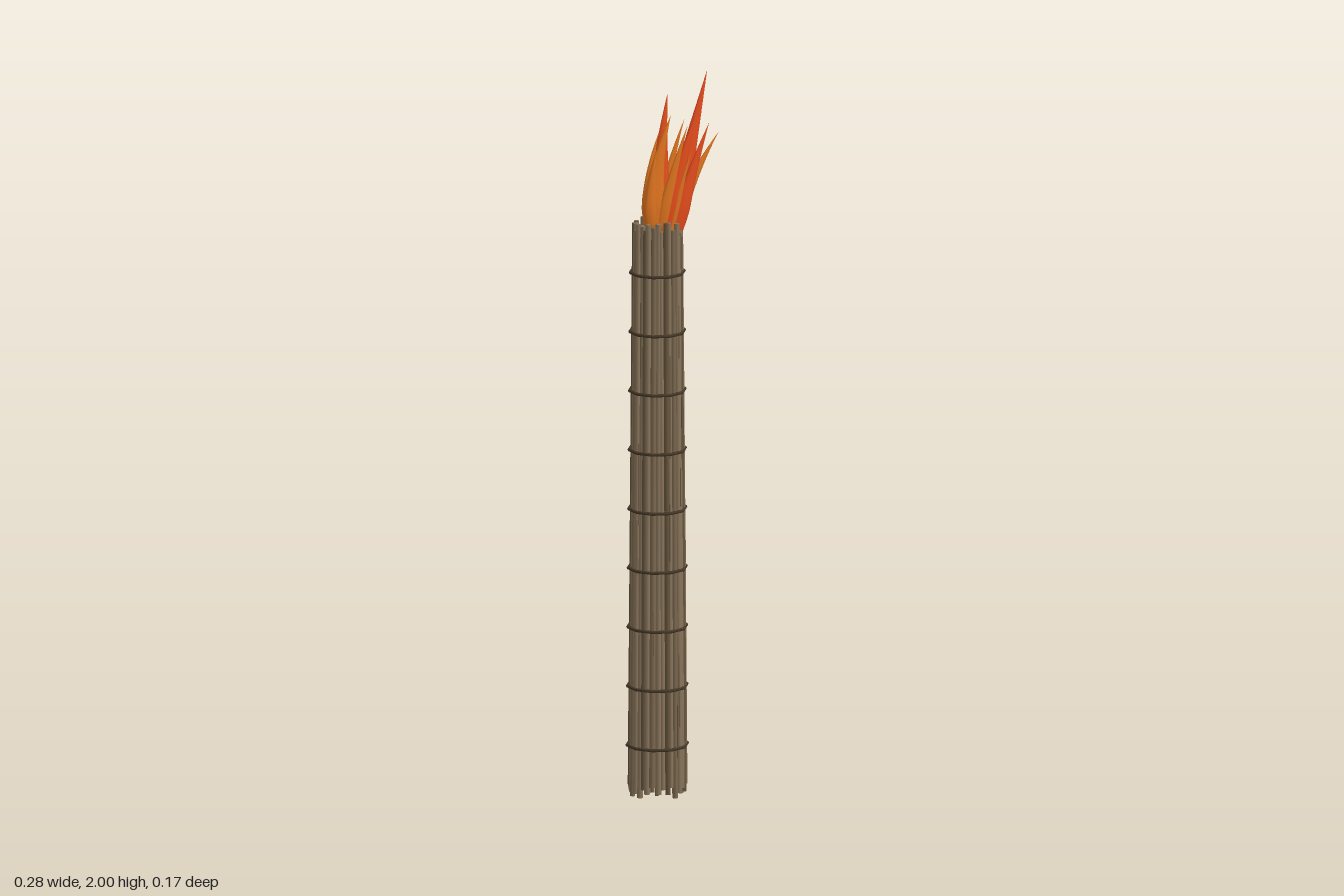
import * as THREE from 'three';

const CX = -0.054; // axis of the bundle

function makeMaterial(name, color) {
  const m = new THREE.MeshStandardMaterial({ color });
  m.name = name;
  return m;
}

function seeded(seed) {
  return () => {
    seed = (seed * 16807) % 2147483647;
    return seed / 2147483647;
  };
}

// Flame tongue: rings swept along a bowed curve, swelling above the base and narrowing to a tip
function tongueGeometry(baseX, tipX, tipY, z, width, bow) {
  const sides = 8, rows = 14, depth = width * 0.5;
  const baseY = 1.555 + Math.max(0, -0.01 - baseX) * 0.45;
  const curve = new THREE.QuadraticBezierCurve3(
    new THREE.Vector3(baseX, baseY, z * 0.6),
    new THREE.Vector3(baseX + bow, (baseY + tipY) / 2, z),
    new THREE.Vector3(tipX, tipY, z));
  const pos = [], index = [];
  for (let i = 0; i <= rows; i++) {
    const t = i / rows, c = curve.getPoint(t), d = curve.getTangent(t);
    const s = t < 0.25 ? 0.75 + 0.25 * Math.sin(t * 2 * Math.PI) : Math.max(0.004, (1 - t) / 0.75);
    for (let j = 0; j < sides; j++) {
      const a = j / sides * Math.PI * 2;
      const w = Math.cos(a) * width * s;
      pos.push(c.x + d.y * w, c.y - d.x * w, c.z + Math.sin(a) * depth * s);
      if (i < rows) {
        const p = i * sides + j, q = i * sides + (j + 1) % sides;
        index.push(p, p + sides, q, q, p + sides, q + sides);
      }
    }
  }
  for (let j = 1; j < sides - 1; j++) index.push(0, j, j + 1);
  const g = new THREE.BufferGeometry();
  g.setAttribute('position', new THREE.Float32BufferAttribute(pos, 3));
  g.setIndex(index);
  g.computeVertexNormals();
  return g;
}

export function createModel() {
  const model = new THREE.Group();
  model.name = 'torch';
  const reed = makeMaterial('reed brown', 0x8a765c);
  const reedMid = makeMaterial('reed mid brown', 0x7c6950);
  const reedDark = makeMaterial('reed dark brown', 0x67563f);
  const coreMat = makeMaterial('core brown', 0x52462f);
  const cord = makeMaterial('cord dark brown', 0x453828);
  const red = makeMaterial('flame red orange', 0xfa5420);
  const orange = makeMaterial('flame orange', 0xe0741f);
  const rand = seeded(4711);

  const add = (parent, name, geo, mat) => {
    const m = new THREE.Mesh(geo, mat);
    m.name = name;
    parent.add(m);
    return m;
  };

  const bundle = new THREE.Group();
  bundle.name = 'reedBundle';
  bundle.position.x = CX;
  model.add(bundle);

  // Solid core behind the reeds
  add(bundle, 'core', new THREE.CylinderGeometry(0.057, 0.068, 1.52, 10), coreMat).position.y = 0.8;

  // A reed leaning inward from radius r0 at the bottom to r1 at the top
  const up = new THREE.Vector3(0, 1, 0);
  const addReed = (name, angle, twist, r0, r1, y0, y1, thick, mat) => {
    const a = new THREE.Vector3(Math.cos(angle) * r0, y0, Math.sin(angle) * r0);
    const b = new THREE.Vector3(Math.cos(angle + twist) * r1, y1, Math.sin(angle + twist) * r1);
    const m = add(bundle, name, new THREE.CylinderGeometry(thick * 0.9, thick, a.distanceTo(b), 7), mat);
    m.position.copy(a).add(b).multiplyScalar(0.5);
    m.quaternion.setFromUnitVectors(up, b.sub(a).normalize());
  };

  // Outer reeds with uneven ends, shorter beside the flame
  const shades = [reed, reed, reedMid, reed, reedDark];
  const outer = 34;
  for (let i = 0; i < outer; i++) {
    const angle = (i + (rand() - 0.5) * 0.4) / outer * Math.PI * 2;
    const inset = rand() * 0.005;
    const bottom = i === 0 ? 0 : 0.005 + rand() * 0.035;
    const top = Math.cos(angle) > 0.6 ? 1.555 + rand() * 0.02 : 1.575 + rand() * 0.033;
    addReed('outerReed', angle, (rand() - 0.5) * 0.1, 0.0755 - inset, 0.0645 - inset,
      bottom, top, 0.0068 + rand() * 0.0018, shades[i % 5]);
  }
  // Inner reeds showing at both ends
  for (let i = 0; i < 26; i++) {
    const angle = (i + rand() * 0.6) / 26 * Math.PI * 2;
    const r = 0.046 + rand() * 0.008;
    addReed('innerReed', angle, 0, r + 0.009, r, 0.008 + rand() * 0.03,
      1.56 + rand() * 0.025, 0.0055, shades[(i * 3) % 5]);
  }
  // Short split fibres on the outside
  for (let i = 0; i < 28; i++) {
    const y = 0.04 + rand() * 1.2, len = 0.1 + rand() * 0.2;
    const r = 0.081 - 0.007 * y;
    addReed('fibre', rand() * Math.PI * 2, (rand() - 0.5) * 0.06, r, r - 0.007 * len,
      y, y + len, 0.0022, i % 2 ? reedDark : reedMid);
  }

  // Nine ten-sided cords tied around the bundle
  for (let i = 0; i < 9; i++) {
    const y = 0.145 + i * 0.1643;
    const t = add(bundle, 'cord', new THREE.TorusGeometry(0.0838 - 0.0068 * y, 0.0045, 6, 10), cord);
    t.position.y = y;
    t.rotation.set(Math.PI / 2, 0, Math.PI / 10);
  }

  // Flame tongues: base x, tip x, tip y, z, half width, bow
  const flame = new THREE.Group();
  flame.name = 'flame';
  model.add(flame);
  const redTongues = [
    [-0.01, 0.107, 2.0, -0.017, 0.034, 0.06],
    [-0.045, -0.016, 1.95, -0.012, 0.034, 0.0],
    [-0.018, 0.045, 1.84, -0.002, 0.042, 0.012],
    [-0.03, 0.062, 1.9, 0.014, 0.026, 0.03],
    [-0.006, 0.096, 1.86, 0.015, 0.026, 0.038],
  ];
  const orangeTongues = [
    [-0.005, 0.138, 1.825, -0.01, 0.024, 0.045],
    [-0.064, -0.014, 1.89, 0.003, 0.034, -0.01],
    [-0.07, -0.044, 1.84, -0.012, 0.023, -0.015],
    [-0.073, -0.062, 1.8, 0.013, 0.021, -0.014],
    [-0.045, 0.03, 1.86, 0.017, 0.021, 0.02],
    [-0.02, 0.04, 1.79, 0.021, 0.013, 0.02],
    [-0.045, 0.038, 1.87, -0.018, 0.02, 0.025],
  ];
  for (const t of redTongues) add(flame, 'redTongue', tongueGeometry(...t), red);
  for (const t of orangeTongues) add(flame, 'orangeTongue', tongueGeometry(...t), orange);

  return model;
}
